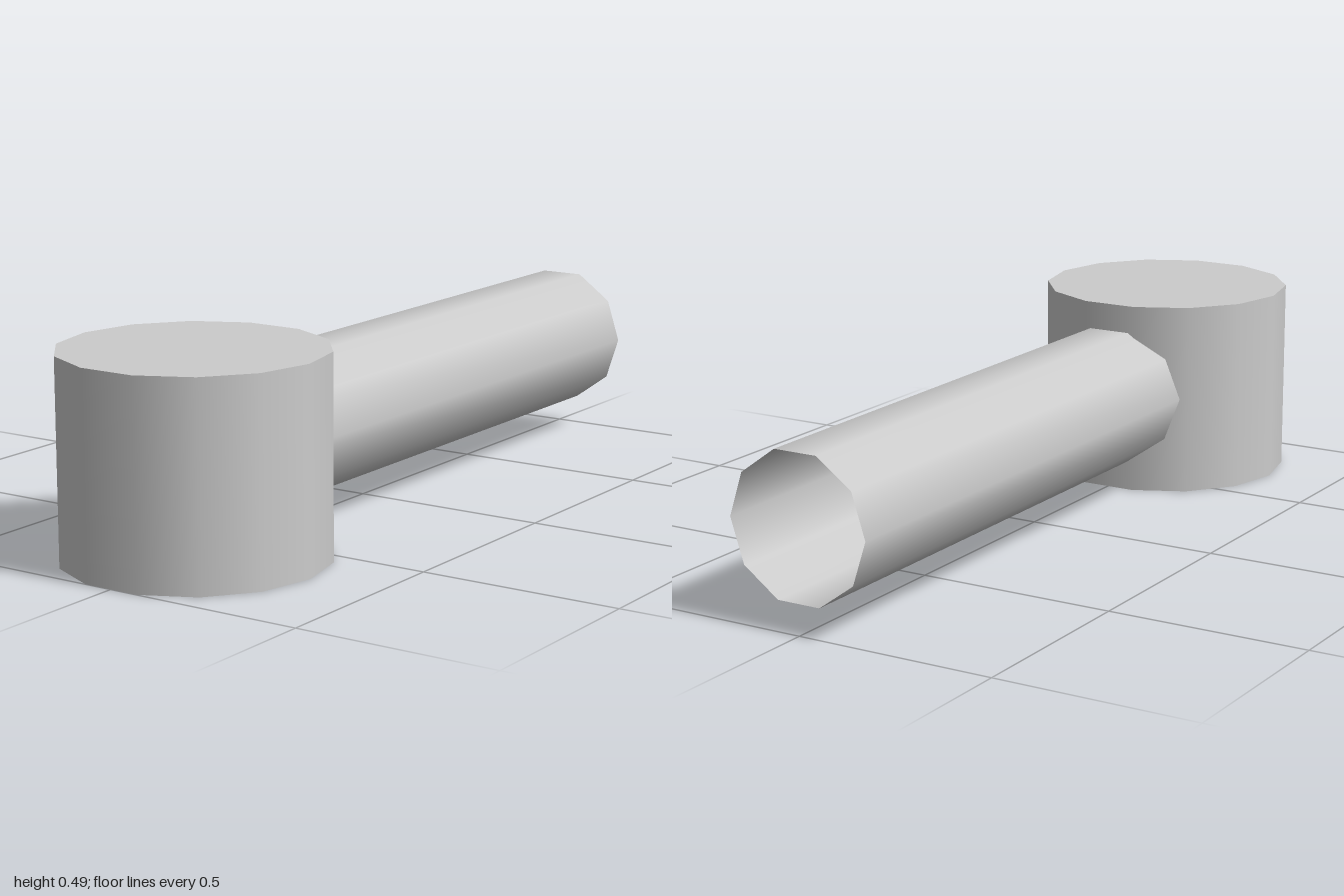
import * as THREE from 'three';

export function createModel() {
  const group = new THREE.Group();
  const grey = new THREE.MeshStandardMaterial({ color: 0xcccccc, side: THREE.DoubleSide });
  grey.name = 'grey';

  const headHeight = 0.492, headZ = 0.688;
  const start = Math.PI / 2; // puts a corner on the +x side

  // Closed upright drum with 14 sides
  const head = new THREE.Mesh(
    new THREE.CylinderGeometry(0.32, 0.32, headHeight, 14, 1, false, start), grey);
  head.name = 'head';
  head.position.set(0, headHeight / 2, headZ);
  group.add(head);

  // Open ten-sided tube running from the middle of the head to the back
  const length = headZ + 1;
  const tube = new THREE.CylinderGeometry(0.182, 0.182, length, 10, 1, true, start);
  tube.rotateX(Math.PI / 2);
  const handle = new THREE.Mesh(tube, grey);
  handle.name = 'handle';
  handle.position.set(0, headHeight / 2 + 0.002, headZ - length / 2);
  group.add(handle);

  return group;
}
